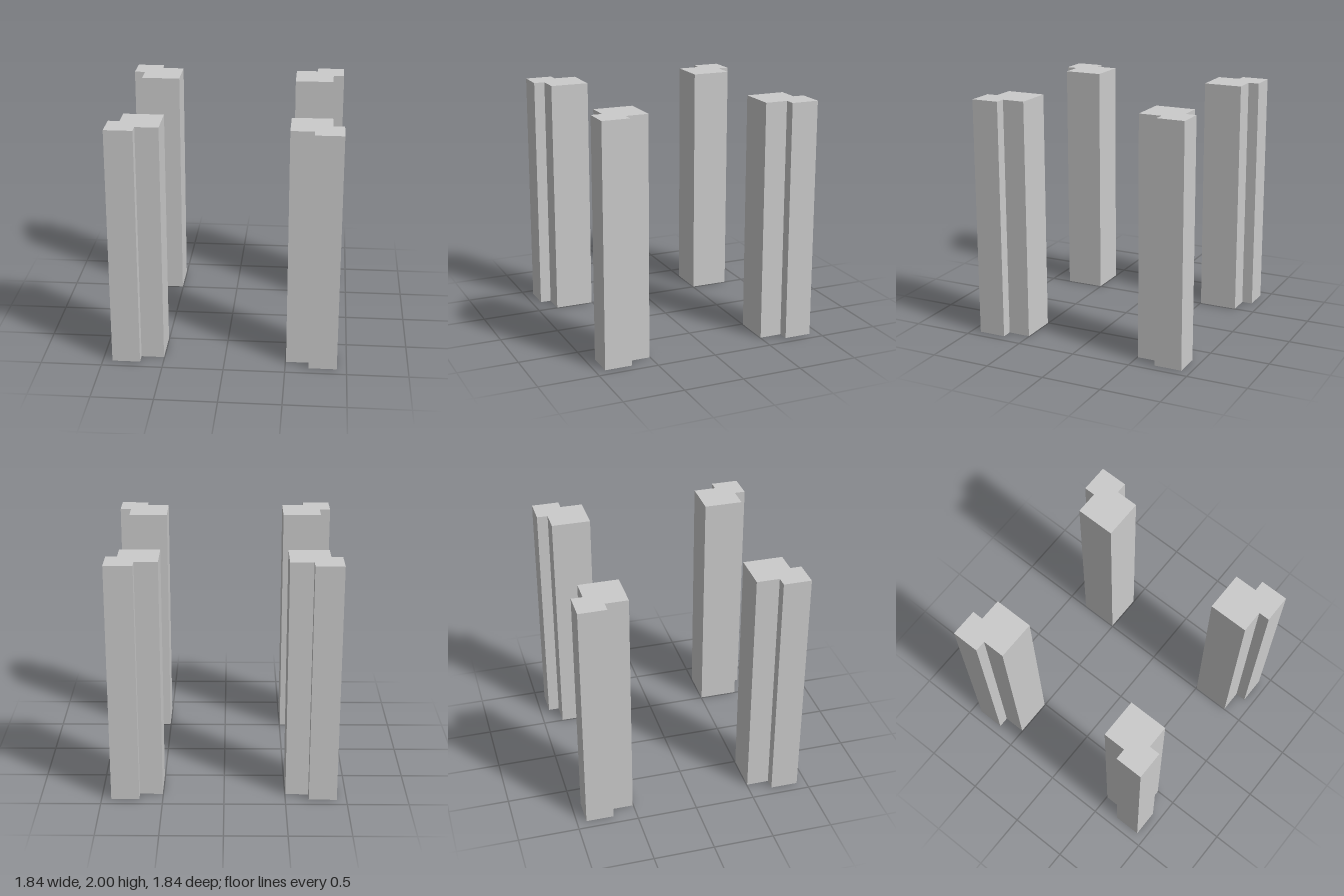
import * as THREE from 'three';

// Four identical corner pillars: a square shaft with a smaller square merged into its outer corner
export function createModel() {
  const group = new THREE.Group();
  const material = new THREE.MeshStandardMaterial({ color: 0xcccccc, flatShading: true });

  const inner = 0.505, step = 0.692, shaft = 0.83, outer = 0.921, height = 2;
  const profile = new THREE.Shape([
    [inner, inner], [shaft, inner], [shaft, step], [outer, step],
    [outer, outer], [step, outer], [step, shaft], [inner, shaft],
  ].map(([x, y]) => new THREE.Vector2(x, y)));

  const geometry = new THREE.ExtrudeGeometry(profile, { depth: height, bevelEnabled: false });
  geometry.rotateX(-Math.PI / 2); // stand upright, in the back +x corner

  // The profile is symmetric about its diagonal, so quarter turns fill every corner
  ['backLeftPillar', 'backRightPillar', 'frontRightPillar', 'frontLeftPillar'].forEach((name, i) => {
    const pillar = new THREE.Mesh(geometry, material);
    pillar.name = name;
    pillar.rotation.y = i * Math.PI / 2;
    group.add(pillar);
  });
  return group;
}
